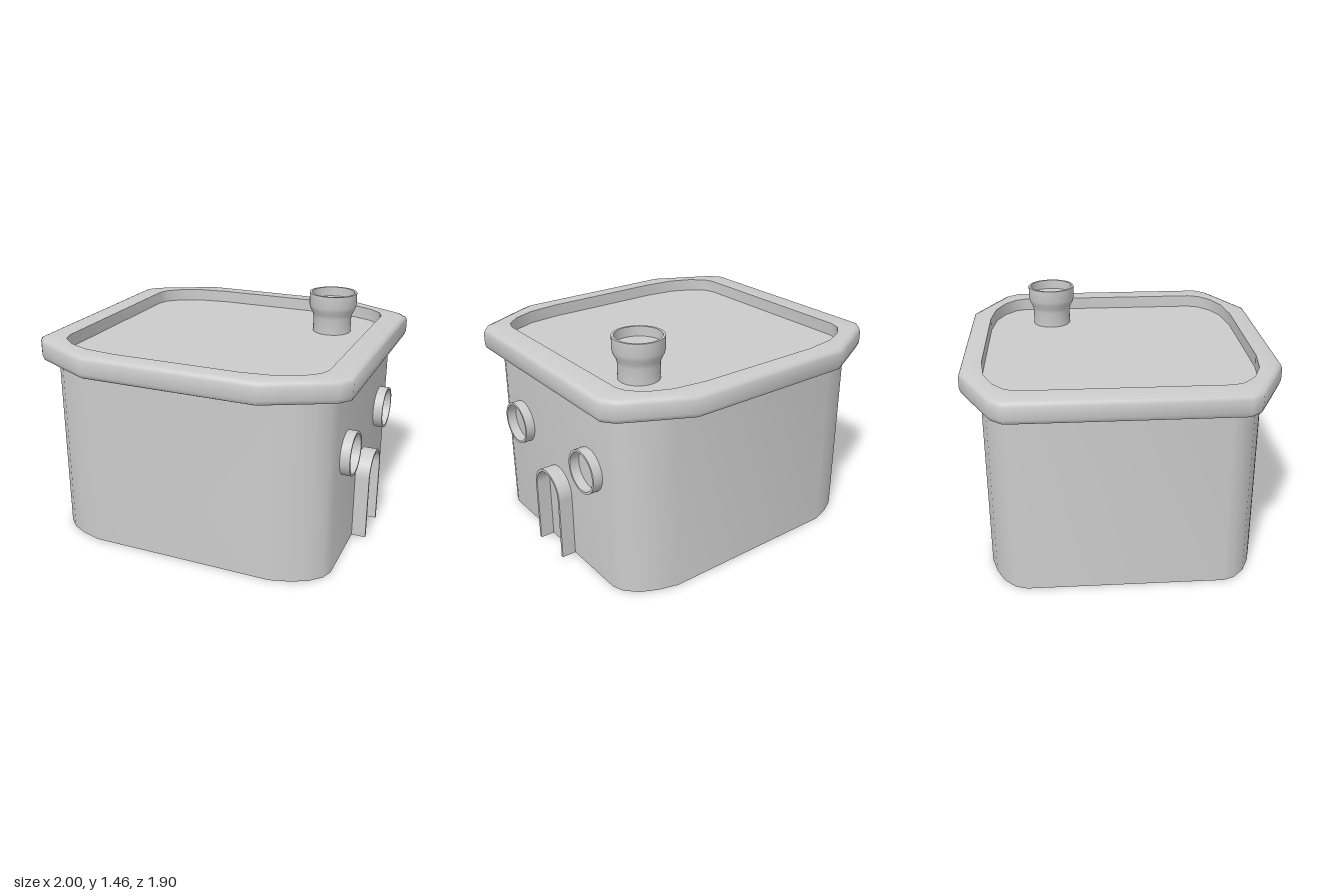
import * as THREE from 'three';
import { toCreasedNormals } from 'three/addons/utils/BufferGeometryUtils.js';

const material = new THREE.MeshStandardMaterial({ color: 0xcccccc, side: THREE.DoubleSide });

function part(name, geometry, crease = 0.6) {
  const mesh = new THREE.Mesh(toCreasedNormals(geometry, crease), material);
  mesh.name = name;
  return mesh;
}

// Mirrors one corner (from the +x side to the +z side) into a full loop of [x, z]
function mirrorCorner(corner) {
  const back = [...corner].reverse();
  return [
    ...corner,
    ...back.map(([x, z]) => [-x, z]),
    ...corner.map(([x, z]) => [-x, -z]),
    ...back.map(([x, z]) => [x, -z]),
  ];
}

// Skins closed loops of [x, z] stacked at the given heights
function skinLoops(sections) {
  const n = sections[0].loop.length;
  const positions = sections.flatMap(({ loop, y }) => loop.flatMap(([x, z]) => [x, y, z]));
  const index = [];
  for (let s = 0; s < sections.length - 1; s++) {
    for (let i = 0; i < n; i++) {
      const a = s * n + i, b = s * n + (i + 1) % n;
      index.push(a, a + n, b + n, a, b + n, b);
    }
  }
  const geometry = new THREE.BufferGeometry();
  geometry.setAttribute('position', new THREE.Float32BufferAttribute(positions, 3));
  geometry.setIndex(index);
  return geometry;
}

function lathe(profile, segments = 48) {
  return new THREE.LatheGeometry(profile.map(([r, y]) => new THREE.Vector2(r, y)), segments);
}

// Arched frame: an upside-down U open at the floor
function archFrame(outer, inner, springY, depth) {
  const shape = new THREE.Shape();
  shape.moveTo(outer, 0);
  shape.lineTo(outer, springY);
  shape.absarc(0, springY, outer, 0, Math.PI, false);
  shape.lineTo(-outer, 0);
  shape.lineTo(-inner, 0);
  shape.lineTo(-inner, springY);
  shape.absarc(0, springY, inner, Math.PI, 0, true);
  shape.lineTo(inner, 0);
  shape.closePath();
  return new THREE.ExtrudeGeometry(shape, { depth, bevelEnabled: false, curveSegments: 24 });
}

export function createModel() {
  const house = new THREE.Group();
  house.name = 'house';

  // Walls, closed at the floor and at the sunken roof
  const wallLoop = mirrorCorner([[0.905, 0.6], [0.88, 0.67], [0.81, 0.74], [0.71, 0.79], [0.59, 0.825]]);
  const wallShape = new THREE.Shape(wallLoop.map(([x, z]) => new THREE.Vector2(x, -z)));
  const walls = new THREE.ExtrudeGeometry(wallShape, { depth: 1.2, bevelEnabled: false });
  walls.rotateX(-Math.PI / 2);
  house.add(part('walls', walls, 0.45));

  // Overhanging roof rim with softened outer edges
  const outer = mirrorCorner([[1, 0.68], [0.945, 0.75], [0.78, 0.835], [0.68, 0.885], [0.55, 0.95]]);
  const inner = mirrorCorner([[0.84, 0.6], [0.815, 0.67], [0.73, 0.745], [0.6, 0.8], [0.4, 0.825]]);
  const shrink = (d) => outer.map(([x, z]) => [x * (1 - d), z * (1 - d)]);
  const rim = skinLoops([
    { loop: inner, y: 1.14 },
    { loop: shrink(0.03), y: 1.14 },
    { loop: shrink(0.008), y: 1.15 },
    { loop: outer, y: 1.175 },
    { loop: outer, y: 1.25 },
    { loop: shrink(0.008), y: 1.27 },
    { loop: shrink(0.03), y: 1.28 },
    { loop: inner, y: 1.28 },
    { loop: inner, y: 1.19 },
  ]);
  house.add(part('roofRim', rim, 0.9));

  // Chimney with a flared, hollow top
  const chimney = part('chimney', lathe([
    [0.125, 1.19], [0.125, 1.3], [0.132, 1.325], [0.148, 1.355], [0.155, 1.38],
    [0.155, 1.46], [0.14, 1.46], [0.14, 1.4], [0, 1.4],
  ]));
  chimney.position.set(0.555, 0, -0.41);
  house.add(chimney);

  // Round window frames on the +x wall
  for (const [name, z] of [['frontWindowFrame', 0.397], ['backWindowFrame', -0.397]]) {
    const ring = lathe([[0.136, -0.02], [0.136, 0.06], [0.121, 0.06], [0.121, -0.02]]);
    ring.rotateZ(-Math.PI / 2);
    const frame = part(name, ring);
    frame.position.set(0.905, 0.71, z);
    house.add(frame);
  }

  // Arched door frame
  const arch = archFrame(0.146, 0.129, 0.41, 0.115);
  arch.rotateY(Math.PI / 2);
  const door = part('doorFrame', arch);
  door.position.set(0.88, 0, -0.021);
  house.add(door);

  return house;
}
